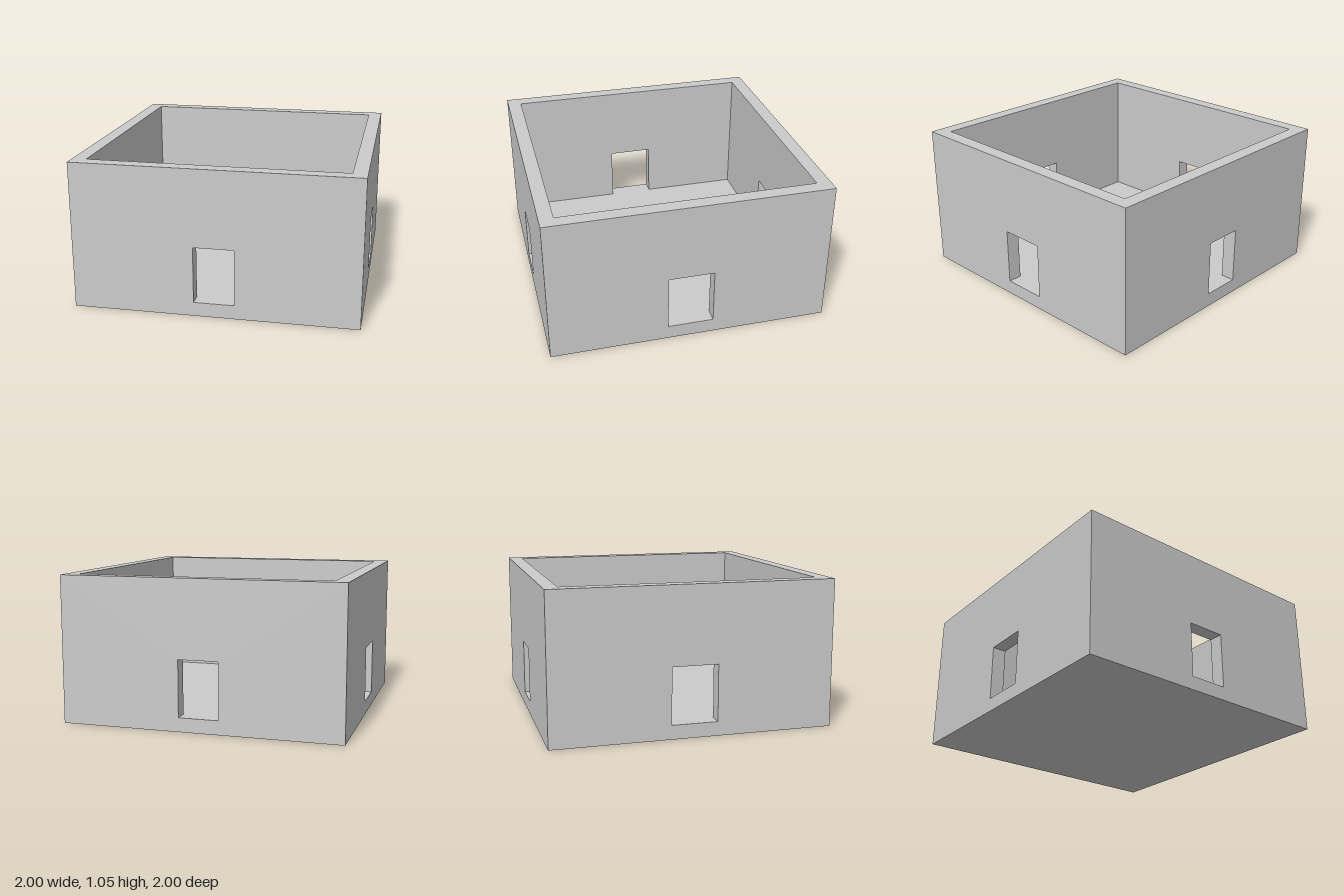
import * as THREE from 'three';

const HALF = 1, INNER = 0.9, HEIGHT = 1.05, FLOOR = 0.1, HEAD = 0.5;
const THICK = HALF - INNER, MID = (HALF + INNER) / 2;
const material = new THREE.MeshStandardMaterial({ color: 0xcccccc, flatShading: true });

const polygon = pts => pts.map(([x, y]) => new THREE.Vector2(x, y));
const rect = (w, y0, y1) => polygon([[-w, y0], [w, y0], [w, y1], [-w, y1]]);

function add(parent, name, geometry) {
  const mesh = new THREE.Mesh(geometry, material);
  mesh.name = name;
  parent.add(mesh);
}

// One wall facing +z, with an opening of half-width w standing on the floor level
function createWall(name, w) {
  const wall = new THREE.Group();
  wall.name = name;

  // Outer face with the opening cut out
  const outer = new THREE.Shape(rect(HALF, 0, HEIGHT));
  outer.holes.push(new THREE.Path(rect(w, FLOOR, HEAD)));
  add(wall, 'outerFace', new THREE.ShapeGeometry(outer).translate(0, 0, HALF));

  // Inner face, notched where the opening meets the floor
  const inner = new THREE.Shape(polygon([
    [-INNER, FLOOR], [-w, FLOOR], [-w, HEAD], [w, HEAD],
    [w, FLOOR], [INNER, FLOOR], [INNER, HEIGHT], [-INNER, HEIGHT],
  ]));
  add(wall, 'innerFace', new THREE.ShapeGeometry(inner).rotateY(Math.PI).translate(0, 0, INNER));

  // Sill, lintel and the two jambs lining the opening
  const quarter = Math.PI / 2;
  add(wall, 'sill', new THREE.PlaneGeometry(2 * w, THICK).rotateX(-quarter).translate(0, FLOOR, MID));
  add(wall, 'lintel', new THREE.PlaneGeometry(2 * w, THICK).rotateX(quarter).translate(0, HEAD, MID));
  for (const s of [-1, 1]) {
    add(wall, s > 0 ? 'leftJamb' : 'rightJamb',
      new THREE.PlaneGeometry(THICK, HEAD - FLOOR).rotateY(-s * quarter)
        .translate(s * w, (FLOOR + HEAD) / 2, MID));
  }
  return wall;
}

export function createModel() {
  const model = new THREE.Group();
  model.name = 'openRoom';

  // Four walls; the side openings are slightly wider
  ['frontWall', 'leftWall', 'backWall', 'rightWall'].forEach((name, i) => {
    const wall = createWall(name, i % 2 ? 0.163 : 0.142);
    wall.rotation.y = i * Math.PI / 2;
    model.add(wall);
  });

  // Square rim along the wall tops
  const rim = new THREE.Shape(rect(HALF, -HALF, HALF));
  rim.holes.push(new THREE.Path(rect(INNER, -INNER, INNER)));
  add(model, 'wallTop', new THREE.ShapeGeometry(rim).rotateX(-Math.PI / 2).translate(0, HEIGHT, 0));

  // Floor and underside of the slab
  add(model, 'floor', new THREE.PlaneGeometry(2 * INNER, 2 * INNER).rotateX(-Math.PI / 2).translate(0, FLOOR, 0));
  add(model, 'underside', new THREE.PlaneGeometry(2 * HALF, 2 * HALF).rotateX(Math.PI / 2));
  return model;
}
